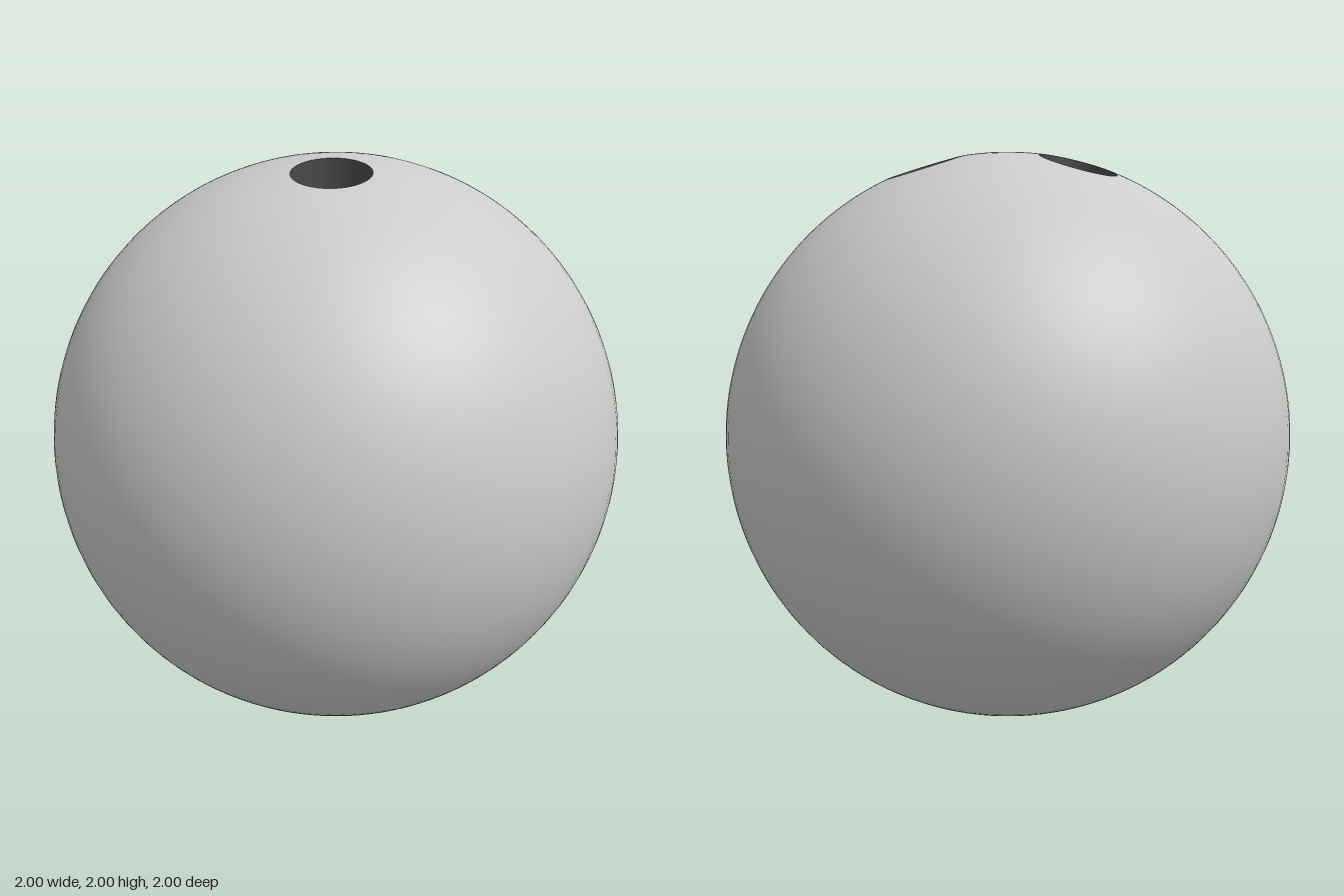
import * as THREE from 'three';

const CAP = 0.6;          // radius, seen from above, of the drilled top region
const HOLE = 0.13;        // finger hole radius
const DEPTH = 0.45;       // height of the hole floors above the ball's centre
const lift = (x, z) => Math.sqrt(Math.max(0, 1 - x * x - z * z));

// Patch of the sphere between two angles a0..a1 with a round hole at (cx, cz)
function drilledPatch(cx, cz, a0, a1) {
  const edge = 20, arc = 44, rings = 14, rim = [];
  const polar = (r, a) => rim.push([r * Math.cos(a), r * Math.sin(a)]);
  for (let i = 0; i < edge; i++) polar(CAP * i / edge, a0);
  for (let i = 0; i < arc; i++) polar(CAP, a0 + (a1 - a0) * i / arc);
  for (let i = 0; i <= edge; i++) polar(CAP * (1 - i / edge), a1);

  const pos = [], index = [], n = rim.length;
  for (let j = 0; j <= rings; j++) {
    for (const [px, pz] of rim) {
      const dx = px - cx, dz = pz - cz, d = Math.hypot(dx, dz);
      const s = HOLE / d + (1 - HOLE / d) * j / rings;
      const x = cx + dx * s, z = cz + dz * s;
      pos.push(x, lift(x, z), z);
    }
  }
  for (let j = 0; j < rings; j++) {
    for (let i = 0; i < n - 1; i++) {
      const a = j * n + i, c = a + n;
      index.push(a, a + 1, c, a + 1, c + 1, c);
    }
  }
  const geo = new THREE.BufferGeometry();
  geo.setAttribute('position', new THREE.Float32BufferAttribute(pos, 3));
  geo.setAttribute('normal', new THREE.Float32BufferAttribute(pos, 3)); // unit sphere
  geo.setIndex(index);
  return geo;
}

// Inward-facing vertical bore with a rounded floor, its mouth following the sphere
function boreGeometry(cx, cz) {
  const profile = [new THREE.Vector2(HOLE, 0.9)];
  for (let i = 0; i <= 10; i++) {
    const a = i / 10 * Math.PI / 2;
    profile.push(new THREE.Vector2(HOLE * Math.cos(a), DEPTH + HOLE * (1 - Math.sin(a))));
  }
  const geo = new THREE.LatheGeometry(profile, 64).translate(cx, 0, cz);
  const p = geo.attributes.position;
  for (let i = 0; i < p.count; i++) {
    if (p.getY(i) > 0.85) p.setY(i, lift(p.getX(i), p.getZ(i)));
  }
  return geo;
}

export function createModel() {
  const model = new THREE.Group();
  model.name = 'bowlingBall';
  const shell = new THREE.MeshStandardMaterial({ color: 0xcccccc });
  const dark = new THREE.MeshStandardMaterial({ color: 0x484848 });
  const add = (name, geo, mat) => {
    const mesh = new THREE.Mesh(geo, mat);
    mesh.name = name;
    mesh.position.y = 1;
    model.add(mesh);
  };

  // Ball below the drilled region, tucked slightly under its edge
  const start = Math.asin(CAP) - 0.002;
  add('ballBody', new THREE.SphereGeometry(1, 96, 64, 0, Math.PI * 2, start, Math.PI - start), shell);

  // Three holes: thumb at the front, two fingers behind
  const deg = Math.PI / 180;
  const holes = [
    ['thumb', 0, 0.235, 27.6, 152.4],
    ['rightFinger', -0.26, -0.18, 152.4, 270],
    ['leftFinger', 0.26, -0.18, -90, 27.6],
  ];
  for (const [name, x, z, a0, a1] of holes) {
    add(name + 'Surface', drilledPatch(x, z, a0 * deg, a1 * deg), shell);
    add(name + 'Hole', boreGeometry(x, z), dark);
  }
  return model;
}
